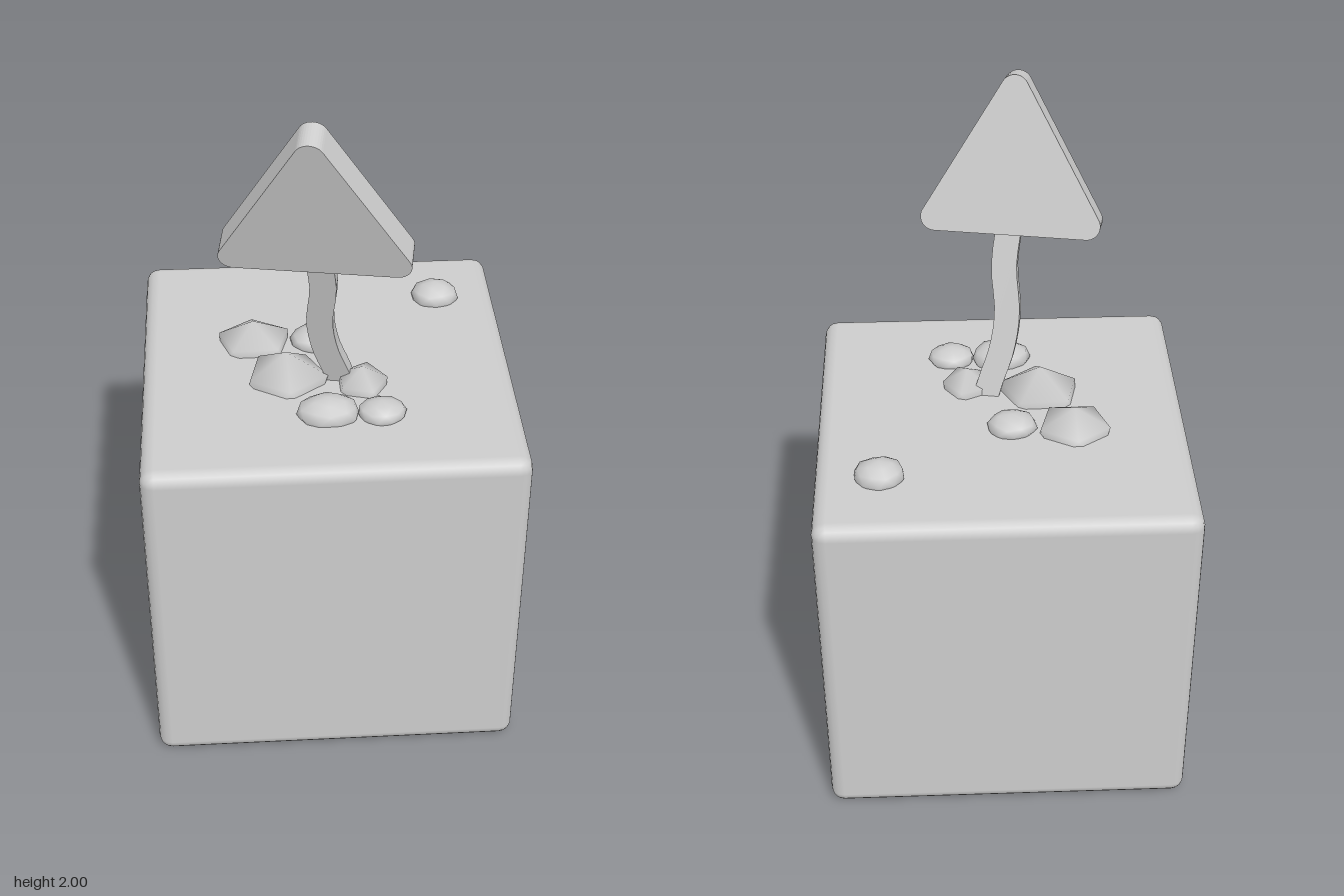
import * as THREE from 'three';
import { mergeVertices } from 'three/addons/utils/BufferGeometryUtils.js';
import { RoundedBoxGeometry } from 'three/addons/geometries/RoundedBoxGeometry.js';

const grey = new THREE.MeshStandardMaterial({ color: 0xcccccc, side: THREE.DoubleSide });
grey.name = 'grey';
const rad = THREE.MathUtils.degToRad;

function part(name, geometry, parent) {
  const mesh = new THREE.Mesh(geometry, grey);
  mesh.name = name;
  parent.add(mesh);
  return mesh;
}

// Small seeded random generator, -1 to 1
function seeded(seed) {
  let s = seed * 7919 + 17;
  return () => {
    s = (s * 16807) % 2147483647;
    return (s / 2147483647) * 2 - 1;
  };
}

// Soft-edged cube, open underneath: the flat bottom triangles are dropped
function blockGeometry(size, height) {
  const geo = mergeVertices(new RoundedBoxGeometry(size, height, size, 2, 0.04));
  const p = geo.attributes.position, index = geo.index.array, kept = [];
  for (let i = 0; i < index.length; i += 3) {
    const tri = [index[i], index[i + 1], index[i + 2]];
    if (tri.some((v) => p.getY(v) > -height / 2 + 1e-4)) kept.push(...tri);
  }
  geo.setIndex(kept);
  geo.clearGroups();
  return geo;
}

// Smooth pebble of unit size with one corner on top and uneven corners
function rockGeometry(seed, detail, yaw) {
  let geo = new THREE.IcosahedronGeometry(1, detail);
  geo.deleteAttribute('uv');
  geo.deleteAttribute('normal');
  geo = mergeVertices(geo, 1e-3);
  geo.rotateZ(rad(31.7)).rotateY(rad(yaw));
  const rand = seeded(seed);
  const p = geo.attributes.position;
  for (let i = 0; i < p.count; i++) {
    const k = 1 + 0.05 * rand();
    p.setXYZ(i, p.getX(i) * k, p.getY(i) * k, p.getZ(i) * k);
  }
  geo.computeVertexNormals();
  return geo;
}

// Triangle with rounded corners, base resting on y = 0
function signGeometry() {
  const r = 0.04;
  const corners = [[0.219, r, -90], [0, 0.417, 30], [-0.219, r, 150]];
  const shape = new THREE.Shape();
  corners.forEach(([x, y, start]) => {
    shape.absarc(x, y, r, rad(start), rad(start + 120), false);
  });
  shape.closePath();
  return new THREE.ExtrudeGeometry(shape, { depth: 0.088, bevelEnabled: false, curveSegments: 6 });
}

// Wavy flat strip, offset to both sides of a centre curve
function stemGeometry() {
  const curve = new THREE.SplineCurve([
    [0.062, -0.53], [0.042, -0.45], [0.013, -0.35], [0.001, -0.235], [0.015, -0.1], [0.005, 0.02],
  ].map(([x, y]) => new THREE.Vector2(x, y)));
  const right = [], left = [];
  for (let i = 0; i <= 16; i++) {
    const c = curve.getPoint(i / 16), t = curve.getTangent(i / 16);
    right.push(new THREE.Vector2(c.x + t.y * 0.037, c.y - t.x * 0.037));
    left.unshift(new THREE.Vector2(c.x - t.y * 0.037, c.y + t.x * 0.037));
  }
  return new THREE.ExtrudeGeometry(new THREE.Shape([...right, ...left]), { depth: 0.037, bevelEnabled: false });
}

export function createModel() {
  const model = new THREE.Group();
  model.name = 'signBlock';

  // Hollow block
  part('block', blockGeometry(1.075, 1.07), model).position.y = 0.535;

  // Leaning sign and stem share one tilted frame
  const signPost = new THREE.Group();
  signPost.name = 'signPost';
  signPost.position.set(-0.031, 1.558, 0.184);
  signPost.rotation.set(rad(15), rad(-10), 0, 'YXZ');
  model.add(signPost);
  part('sign', signGeometry(), signPost);
  part('stem', stemGeometry(), signPost).position.z = 0.02;

  // Rocks: x, z, half width, top, half depth, detail, yaw
  const rocks = [
    [0.353, -0.3, 0.073, 1.125, 0.063, 1, 0],
    [-0.21, -0.092, 0.122, 1.14, 0.108, 0, -16],
    [-0.028, -0.08, 0.073, 1.118, 0.064, 1, 40],
    [-0.12, 0.098, 0.13, 1.155, 0.115, 0, 22],
    [0.095, 0.14, 0.085, 1.135, 0.085, 0, -33],
    [-0.01, 0.28, 0.09, 1.13, 0.066, 1, 20],
    [0.14, 0.285, 0.07, 1.115, 0.06, 1, 60],
  ];
  rocks.forEach(([x, z, w, top, d, detail, yaw], i) => {
    const rock = part('rock', rockGeometry(i + 1, detail, yaw), model);
    // Coarse rocks sit deeper, so that their upper ring of corners is widest
    const h = detail ? top - 1.078 : (top - 1.09) / 0.553;
    rock.position.set(x, top - h, z);
    rock.scale.set(w, h, d);
  });
  return model;
}
